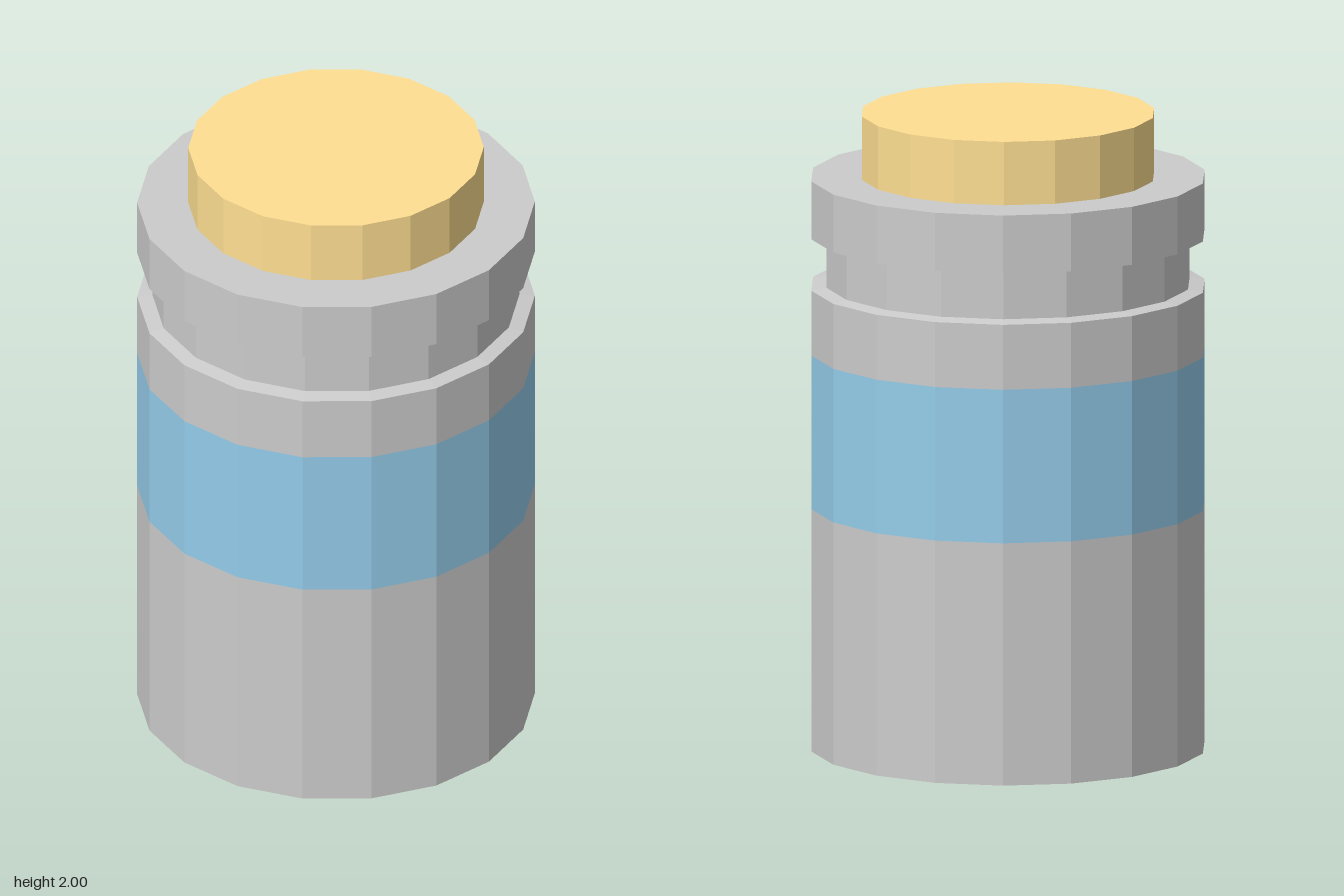
import * as THREE from 'three';

const SIDES = 18;

// Faceted ring or solid turned from a bottom-to-top profile of [radius, y]
function turned(name, profile, color) {
  const points = profile.map(([r, y]) => new THREE.Vector2(r, y));
  const mesh = new THREE.Mesh(
    new THREE.LatheGeometry(points, SIDES),
    new THREE.MeshStandardMaterial({ color, flatShading: true })
  );
  mesh.name = name;
  return mesh;
}

export function createModel() {
  const group = new THREE.Group();
  group.name = 'corkedJar';
  const grey = 0xcccccc;
  const R = 0.615, neckR = 0.568, corkR = 0.457;

  // Lower wall with closed base
  group.add(turned('jarBase', [[0, 0], [R, 0], [R, 0.765]], grey));

  // Label band flush with the wall
  group.add(turned('label', [[R, 0.765], [R, 1.25]], 0x94ccea));

  // Shoulder, recessed neck and overhanging lip
  group.add(turned('neckAndLip', [
    [R, 1.25], [R, 1.455], [neckR, 1.463],
    [neckR, 1.61], [R, 1.617], [R, 1.8], [corkR, 1.8],
  ], grey));

  // Cork stopper
  group.add(turned('cork', [[corkR, 1.8], [corkR, 2], [0, 2]], 0xffdf92));

  return group;
}
